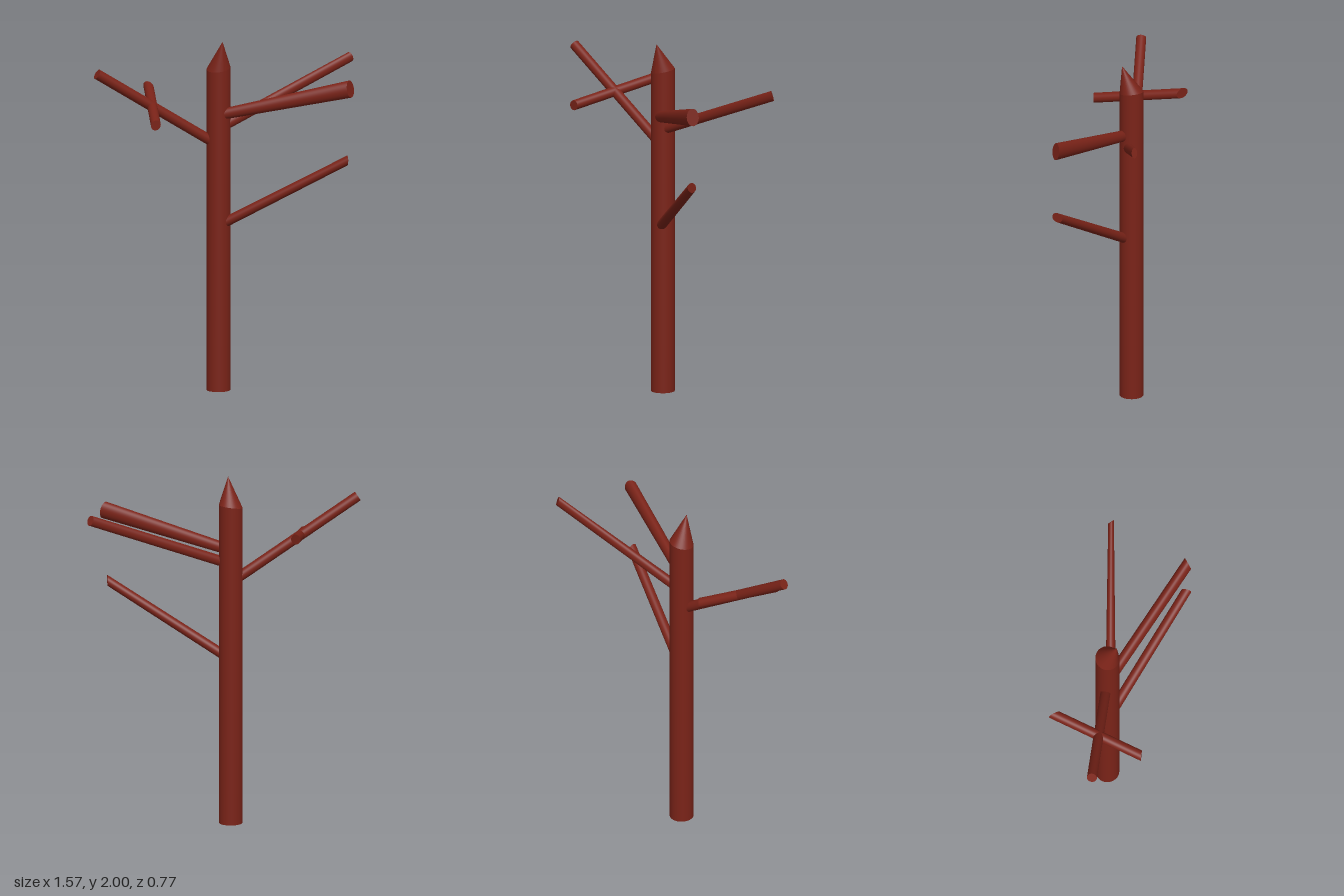
import * as THREE from 'three';
import { mergeVertices } from 'three/addons/utils/BufferGeometryUtils.js';

const SIDES = 32;
const vec = (a) => new THREE.Vector3(...a);

// Drop the uv seam so that the sides shade smoothly while the caps stay sharp
function seamless(geometry) {
  geometry.deleteAttribute('uv');
  return mergeVertices(geometry);
}

// Move every vertex by a rule
function reshape(geometry, rule) {
  const pos = geometry.attributes.position;
  const v = new THREE.Vector3();
  for (let i = 0; i < pos.count; i++) {
    v.fromBufferAttribute(pos, i);
    rule(v);
    pos.setXYZ(i, v.x, v.y, v.z);
  }
  geometry.computeVertexNormals();
  return geometry;
}

// Tapered elliptical rod; r0 and r1 are [half width, half height],
// cut0 and cut1 are the normals of the sawn end planes
function rod({ from, to, r0, r1 = r0, cut0, cut1 }) {
  const a = vec(from), b = vec(to);
  const dir = b.clone().sub(a).normalize();
  const side = dir.clone().cross(new THREE.Vector3(0, 1, 0)).normalize();
  const up = side.clone().cross(dir);
  const n0 = cut0 ? vec(cut0) : dir, n1 = cut1 ? vec(cut1) : dir;
  const geometry = seamless(new THREE.CylinderGeometry(1, 1, 1, SIDES));
  return reshape(geometry, (v) => {
    const t = v.y + 0.5;
    const n = t > 0.5 ? n1 : n0;
    const off = side.clone().multiplyScalar(v.x * THREE.MathUtils.lerp(r0[0], r1[0], t))
      .addScaledVector(up, v.z * THREE.MathUtils.lerp(r0[1], r1[1], t));
    off.addScaledVector(dir, -n.dot(off) / n.dot(dir));
    v.lerpVectors(a, b, t).add(off);
  });
}

export function createModel() {
  const group = new THREE.Group();
  const bark = new THREE.MeshStandardMaterial({ color: 0x7a2318 });
  const add = (name, geometry) => {
    const mesh = new THREE.Mesh(geometry, bark);
    mesh.name = name;
    group.add(mesh);
    return mesh;
  };

  // Trunk with a slightly slanted shoulder, and an off-centre pointed tip
  const R = 0.067, shoulder = 1.84, top = 2;
  const slant = (v) => shoulder + 0.17 * v.x - 0.1 * v.z;
  const trunk = seamless(new THREE.CylinderGeometry(R, R, 1, SIDES));
  add('trunk', reshape(trunk, (v) => { v.y = v.y > 0 ? slant(v) : 0; }))
    .position.set(-0.05, 0, -0.065);
  const tip = new THREE.ConeGeometry(R, 1, SIDES, 1, true);
  add('trunkTip', reshape(tip, (v) => {
    if (v.y > 0) v.set(0, top, 0.053);
    else v.y = slant(v);
  })).position.set(-0.05, 0, -0.065);

  // Branches, each rooted inside the trunk
  const branches = {
    rightBranch: { from: [-0.06, 1.405, -0.07], to: [-0.77, 1.86, -0.13], r0: [0.028, 0.029] },
    rightCrossTwig: {
      from: [-0.535, 1.598, 0.139], to: [-0.345, 1.705, -0.352], r0: [0.028, 0.028],
      cut0: [0.08, 0, -1], cut1: [0.86, 0, -0.5],
    },
    frontUpperBranch: {
      from: [-0.03, 1.585, -0.022], to: [0.56, 1.747, 0.367], r0: [0.03, 0.031], r1: [0.031, 0.049],
      cut1: [0.5, 0.15, 0.85],
    },
    frontLowerBranch: {
      from: [-0.03, 0.96, -0.03], to: [0.545, 1.338, 0.358], r0: [0.028, 0.028], r1: [0.027, 0.025],
      cut1: [1, 0, 0.25],
    },
    leftBranch: {
      from: [-0.04, 1.505, -0.047], to: [0.767, 1.825, -0.069], r0: [0.028, 0.029], r1: [0.016, 0.029],
      cut1: [0.8, 0.3, -0.6],
    },
  };
  for (const [name, spec] of Object.entries(branches)) add(name, rod(spec));

  return group;
}
